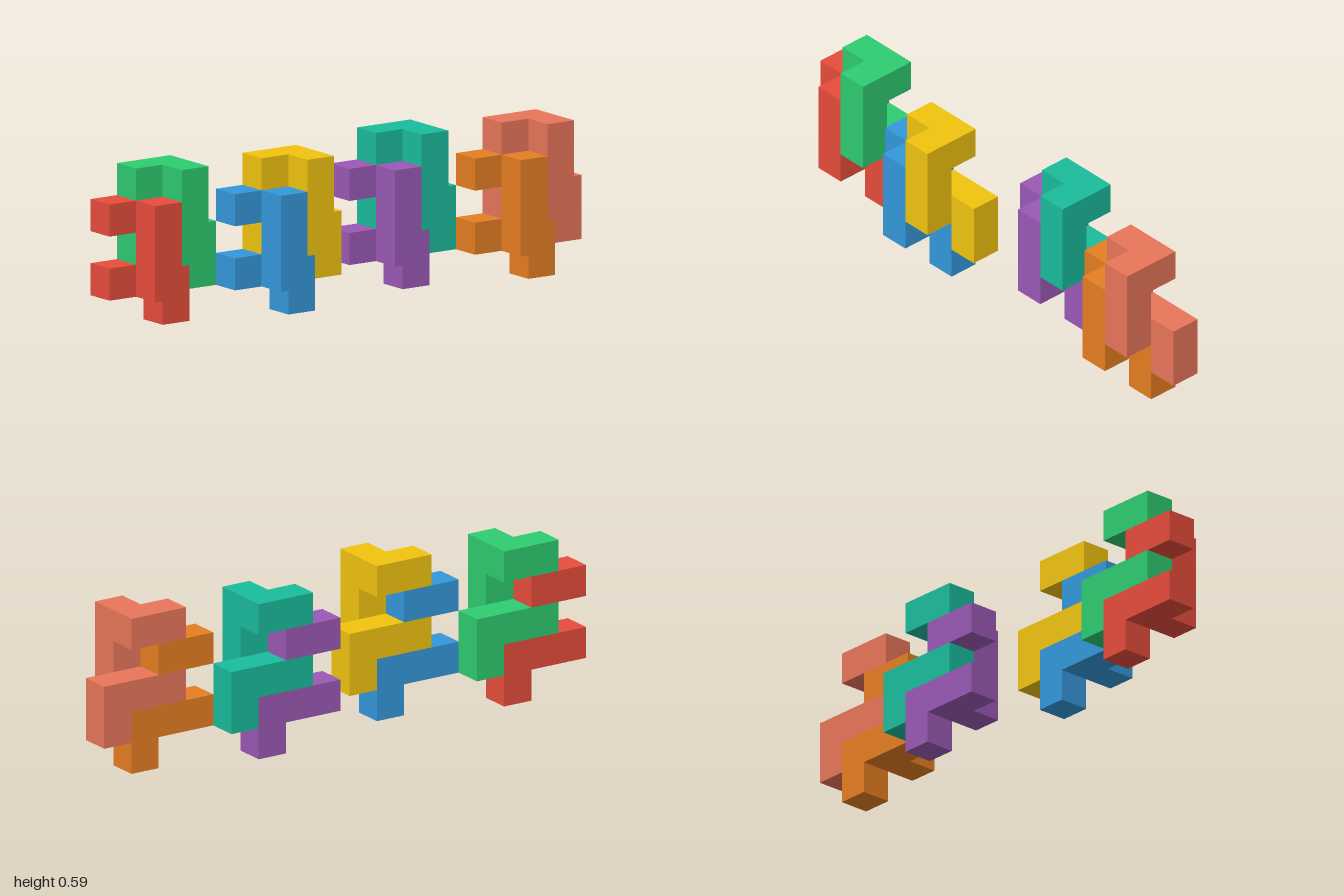
import * as THREE from 'three';
import { mergeGeometries, mergeVertices } from 'three/addons/utils/BufferGeometryUtils.js';

const U = 2 / 17; // edge of one cube cell

// Cells of one interlocking piece as [column, row, layer]; layer 0 is the back, 1 the front
const CELLS = [
  [2, 0, 0],                       // foot
  [0, 1, 0], [1, 1, 0], [2, 1, 0], // lower arm
  [0, 3, 0], [1, 3, 0],            // upper arm
  [1, 1, 1], [1, 2, 1], [1, 3, 1], // front bar joining the arms
];

// Outer skin of the cells: a square on every cell side that has no neighbour
function pieceGeometry() {
  const filled = new Set(CELLS.map(String));
  const sides = [[1, 0, 0], [-1, 0, 0], [0, 1, 0], [0, -1, 0], [0, 0, 1], [0, 0, -1]];
  const front = new THREE.Vector3(0, 0, 1);
  const faces = [];
  for (const c of CELLS) {
    for (const s of sides) {
      if (filled.has(String(c.map((v, i) => v + s[i])))) continue;
      const face = new THREE.PlaneGeometry(U, U);
      face.applyQuaternion(new THREE.Quaternion().setFromUnitVectors(front, new THREE.Vector3(...s)));
      face.translate(...c.map((v, i) => (v + 0.5 + s[i] / 2) * U));
      face.deleteAttribute('uv');
      faces.push(face);
    }
  }
  return mergeVertices(mergeGeometries(faces));
}

export function createModel() {
  const model = new THREE.Group();
  const geometry = pieceGeometry();

  // Each pair: first column, back layer, and the colours of its lower and upper piece
  const pairs = [
    { name: 'redGreenPair', column: 0, layer: 0, colors: [0xe74c3c, 0x2ecc71] },
    { name: 'blueYellowPair', column: 4, layer: 1, colors: [0x3498db, 0xf1c40f] },
    { name: 'purpleTealPair', column: 9, layer: 0, colors: [0x9b59b6, 0x1abc9c] },
    { name: 'orangeCoralPair', column: 13, layer: 1, colors: [0xe67e22, 0xe8765a] },
  ];

  for (const { name, column, layer, colors } of pairs) {
    const pair = new THREE.Group();
    pair.name = name;
    pair.position.set(-1 + column * U, 0, (layer - 1.5) * U);
    // The upper piece is the same shape, one cell further right and up
    colors.forEach((color, i) => {
      const piece = new THREE.Mesh(geometry, new THREE.MeshStandardMaterial({ color }));
      piece.name = i ? 'upperPiece' : 'lowerPiece';
      piece.position.set(i * U, i * U, 0);
      pair.add(piece);
    });
    model.add(pair);
  }
  return model;
}
